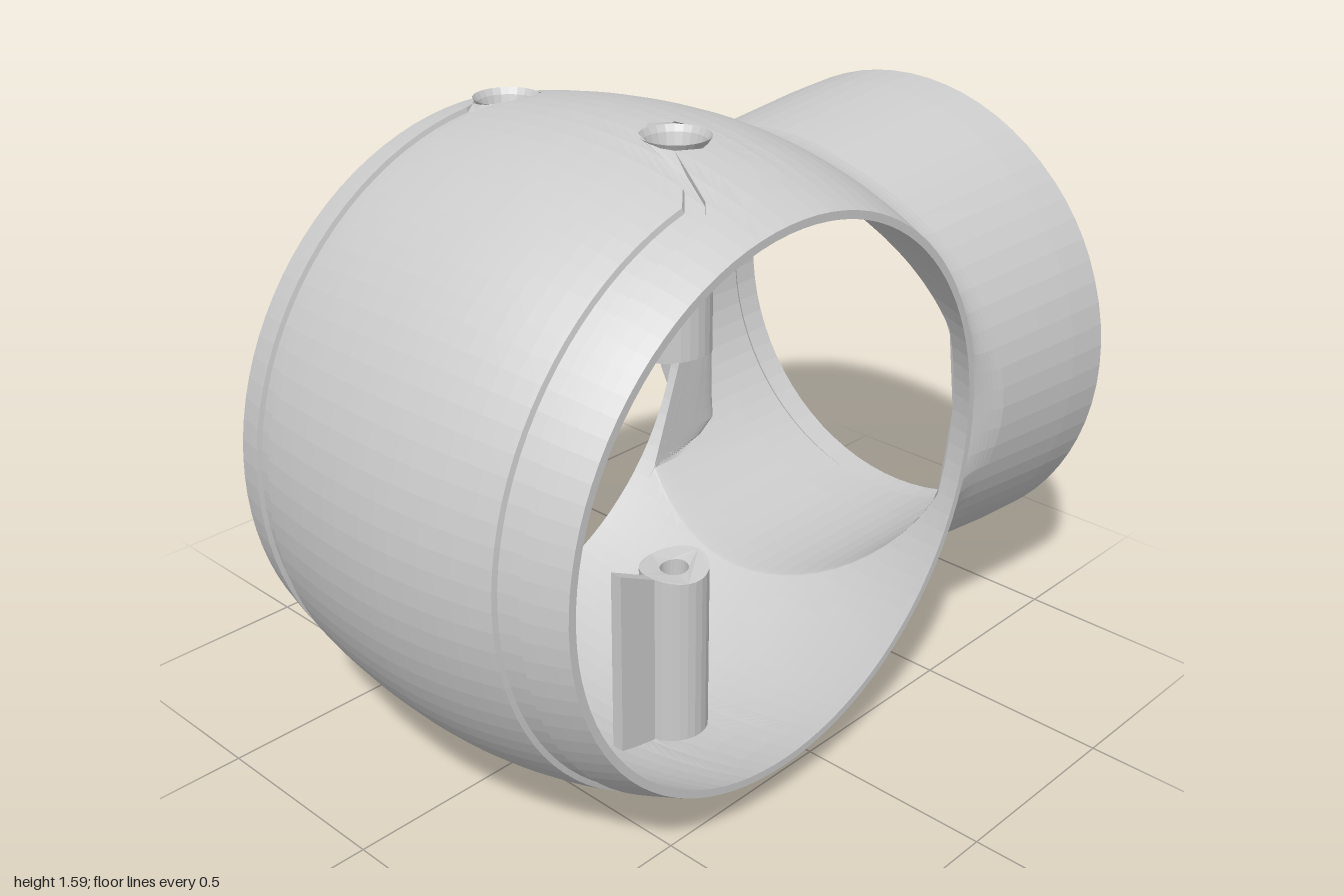
import * as THREE from 'three';

const CY = 0.793, CZ = 0.207;           // barrel axis runs along x through here
const X0 = -0.42, X1 = 0.59;            // barrel ends
const H0 = -0.37, H1 = 0.53, HR = 0.575; // rear opening into the neck
const SCREWS = [-0.31, 0.23], SCREW_R = 0.08;

const { clamp, lerp, smoothstep } = THREE.MathUtils;
const bow = (x, r, kl, kr) => r - (x < 0.05 ? kl : kr) * (x - 0.05) ** 2;
const outerR = x => bow(x, 0.793, 0.26, 0.4);
const innerR = x => bow(x, 0.748, 0.26, 0.312);

const material = () => new THREE.MeshStandardMaterial({
  color: 0xcccccc, flatShading: true, side: THREE.DoubleSide });

function part(name, geometry) {
  const mesh = new THREE.Mesh(geometry, material());
  mesh.name = name;
  return mesh;
}

// Skin a list of rows of points; quads lying fully inside a hole are left out
function skin(rows) {
  const n = rows[0].length, pos = [], idx = [];
  rows.forEach(row => row.forEach(p => pos.push(p.x, p.y, p.z)));
  for (let i = 0; i < rows.length - 1; i++) {
    for (let j = 0; j < n - 1; j++) {
      const quad = [rows[i][j], rows[i][j + 1], rows[i + 1][j + 1], rows[i + 1][j]];
      if (quad.every(p => p.inHole)) continue;
      const a = i * n + j, b = a + 1, c = b + n, d = a + n;
      idx.push(a, b, c, a, c, d);
    }
  }
  const g = new THREE.BufferGeometry();
  g.setAttribute('position', new THREE.Float32BufferAttribute(pos, 3));
  g.setIndex(idx);
  g.computeVertexNormals();
  return g;
}

// Bowed barrel: outer wall with two cable grooves, rims and inner wall
function barrel() {
  const cols = [-0.42, -0.395, H0].map(u => ({ u, cut: false }));
  const add = (...us) => us.forEach(u => cols.push({ u, cut: true }));
  add(H0, -0.355, -0.34, -0.337, -0.31, -0.283, -0.28);
  for (let k = 0; k <= 16; k++) add(-0.26 + k * 0.0425);
  add(0.43, 0.433, 0.46, 0.487, 0.49, 0.505, 0.52, H1);
  [H1, 0.56, X1].forEach(u => cols.push({ u, cut: false }));

  const column = ({ u, cut }, radius, grooved) => {
    const row = [], N = 96;
    const edge = cut ? Math.asin(Math.sqrt(HR * HR - u * u) / radius(u)) : 0;
    for (let j = 0; j <= N; j++) {
      const a = clamp(j / N * Math.PI * 2, edge, Math.PI * 2 - edge);
      const zo = -0.78 * Math.cos(a);
      // the left groove swerves inwards to meet its screw
      const c = lerp(0.23, 0.46, smoothstep(Math.abs(zo), 0.02, 0.2));
      let x = u;
      if (u > 0.49) x = lerp(c + 0.03, X1, (u - 0.49) / (X1 - 0.49));
      else if (u >= 0.43) x = u + c - 0.46;
      else if (u > -0.27) x = lerp(-0.27, c - 0.03, (u + 0.27) / 0.7);
      const inGroove = Math.abs(u + 0.31) < 0.028 || Math.abs(u - 0.46) < 0.028;
      const r = radius(x) - (grooved && zo > 0 && inGroove ? 0.012 : 0);
      const p = new THREE.Vector3(x, r * Math.sin(a), -r * Math.cos(a));
      // pull points near a screw out to the edge of its round hole
      for (const sx of SCREWS) {
        const d = Math.hypot(p.x - sx, p.z);
        if (d >= SCREW_R) continue;
        const f = SCREW_R / Math.max(d, 1e-4), s = Math.sign(p.y);
        p.x = sx + (p.x - sx) * f;
        p.z *= f;
        p.y = s * Math.sqrt(radius(p.x) ** 2 - p.z ** 2);
        p.inHole = true;
      }
      p.y += CY;
      p.z += CZ;
      row.push(p);
    }
    return row;
  };
  const outer = cols.map(c => column(c, outerR, true));
  const inner = cols.map(c => column(c, innerR, false)).reverse();
  return skin([...outer, ...inner, outer[0]]);
}

// Rear neck: blends out of the barrel, flares to a stepped lip, returns inside
function neck() {
  const N = 72, rows = [];
  const flare = z => 0.603 + 0.046 * clamp((-0.4 - z) / 0.5, 0, 1);
  // curve from the barrel wall to the tube, tight where it forms the shoulder
  const blend = (t, th, rStart, rTube, radius, lo, hi, zShoulder) => {
    const c = Math.cos(th), s = Math.sin(th);
    const onBarrel = (x, y) => CZ - Math.sqrt(radius(x) ** 2 - y * y);
    const xa = clamp(rStart * c, lo, hi), ya = rStart * s;
    const xb = clamp(rTube(-0.45) * c, lo, hi), yb = rTube(-0.45) * s;
    const zb = onBarrel(xb, yb);
    const side = smoothstep(lo - rTube(-0.45) * c, 0, 0.05);
    const zEnd = lerp(Math.min(-0.42, zb - 0.09), zShoulder, side);
    const a = new THREE.Vector3(xa, ya, onBarrel(xa, ya));
    const b = new THREE.Vector3(xb, yb, lerp(zb, zShoulder, side));
    const e = new THREE.Vector3(rTube(zEnd) * c, rTube(zEnd) * s, zEnd);
    const wa = (1 - t) ** 2, wb = 2 * t * (1 - t) * lerp(1, 4, side), we = t * t;
    const p = a.multiplyScalar(wa).addScaledVector(b, wb).addScaledVector(e, we);
    p.divideScalar(wa + wb + we);
    p.y += CY;
    return p;
  };
  const ring = f => rows.push(Array.from({ length: N + 1 }, (_, j) => f(-j / N * Math.PI * 2)));
  const circle = (r, z) => ring(th =>
    new THREE.Vector3(r * Math.cos(th), CY + r * Math.sin(th), z));
  const STEPS = 10;
  for (let k = 0; k <= STEPS; k++)
    ring(th => blend(k / STEPS, th, 0.67, flare, outerR, X0, X1, -0.57));
  [-0.7, -0.83, -0.95].forEach(z => circle(flare(z), z));
  [[0.615, -0.95], [0.615, -1], [0.588, -1], [0.588, -0.92], [0.572, -0.9], [0.57, -0.75]]
    .forEach(([r, z]) => circle(r, z));
  for (let k = STEPS; k >= 0; k--)
    ring(th => blend(k / STEPS, th, HR, () => 0.57, innerR, H0, H1, -0.61));
  return skin(rows);
}

// Screw post with a rib towards the front; its free end is scooped by an arc
function screwPost(sx) {
  const r = 0.085, w = 0.016, a = Math.asin(w / r);
  const shape = new THREE.Shape();
  shape.absarc(0, 0, r, -Math.PI / 2 + a, Math.PI * 1.5 - a, false);
  shape.lineTo(-w, -0.195);
  shape.lineTo(w, -0.195);
  shape.closePath();
  const bore = new THREE.Path();
  bore.absarc(0, 0, 0.035, 0, Math.PI * 2, true);
  shape.holes.push(bore);
  const g = new THREE.ExtrudeGeometry(shape, { depth: 1, bevelEnabled: false, curveSegments: 12 });
  g.rotateX(-Math.PI / 2);
  const p = g.attributes.position, floor = outerR(sx) - 0.045;
  for (let i = 0; i < p.count; i++) {
    const z = p.getZ(i);
    const top = Math.hypot(p.getX(i), z) < r + 0.001 ? floor : Math.sqrt(floor ** 2 - z * z);
    p.setY(i, p.getY(i) > 0.5 ? top : Math.sqrt(0.287 ** 2 - (z - 0.015) ** 2));
  }
  g.computeVertexNormals();

  const group = new THREE.Group();
  const seat = new THREE.LatheGeometry(
    [[0.035, -0.045], [0.064, -0.045], [0.072, -0.015], [0.081, 0]]
      .map(([x, y]) => new THREE.Vector2(x, y)), 24);
  seat.translate(0, outerR(sx), 0);
  group.add(part('post', g), part('screwSeat', seat));
  return group;
}

export function createModel() {
  const model = new THREE.Group();
  model.name = 'pipeJoint';
  model.add(part('barrel', barrel()), part('neck', neck()));

  // Posts above and mirrored below
  for (const sx of SCREWS) {
    for (const side of [1, -1]) {
      const post = screwPost(sx);
      post.name = side > 0 ? 'upperScrewPost' : 'lowerScrewPost';
      post.position.set(sx, CY, CZ);
      post.scale.y = side;
      model.add(post);
    }
  }

  // Flat pad on the inside of the front wall
  const pad = part('innerPad', new THREE.BoxGeometry(0.86, 0.17, 0.045));
  const tilt = THREE.MathUtils.degToRad(43);
  pad.position.set(0.05, CY - 0.677 * Math.sin(tilt), CZ + 0.677 * Math.cos(tilt));
  pad.rotation.x = tilt;
  model.add(pad);
  return model;
}
